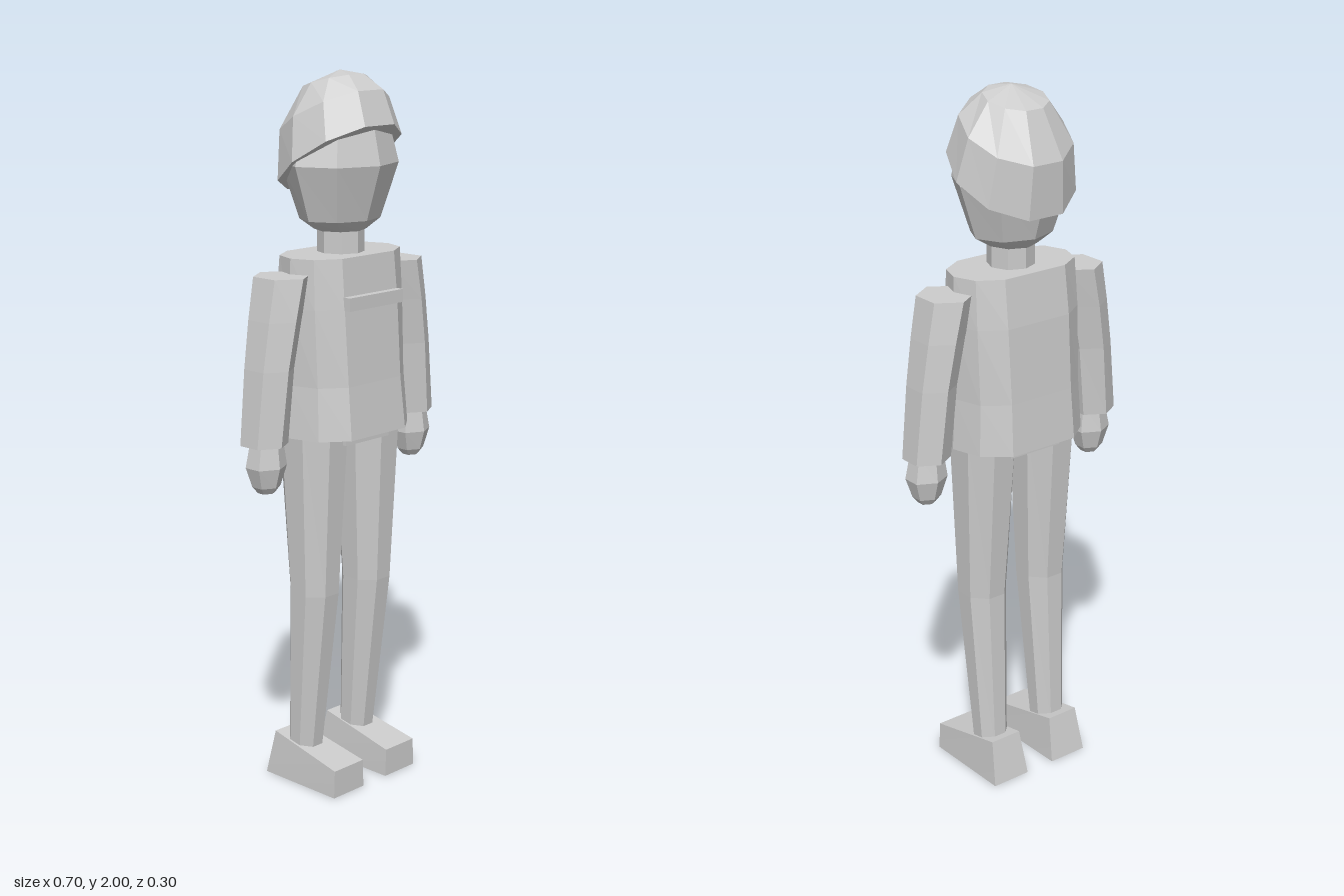
import * as THREE from 'three';

const grey = new THREE.MeshStandardMaterial({ color: 0xcccccc });
grey.name = 'plain grey';

// unit polygon with n corners, turned by a share of one step
const polygon = (n, turn = 0) => Array.from({ length: n }, (_, i) => {
  const a = ((i + turn) / n) * Math.PI * 2;
  return [Math.cos(a), Math.sin(a)];
});

// Closed faceted solid through rings listed from bottom to top.
// Ring: [y, centre x, centre z, radius x, radius z, slope of y along z]
function loft(name, outline, rings) {
  const loops = rings.map(([y, cx, cz, rx, rz, slope = 0]) =>
    outline.map(([u, v]) => new THREE.Vector3(cx + u * rx, y + v * rz * slope, cz + v * rz)));
  const pos = [];
  const tri = (...p) => p.forEach(v => pos.push(v.x, v.y, v.z));
  const n = outline.length;
  const middle = r => new THREE.Vector3(r[1], r[0], r[2]);
  const low = middle(rings[0]);
  const high = middle(rings[rings.length - 1]);
  const last = loops[loops.length - 1];
  for (let i = 0; i < n; i++) {
    const j = (i + 1) % n;
    for (let k = 0; k + 1 < loops.length; k++) {
      const a = loops[k], b = loops[k + 1];
      tri(a[i], b[i], b[j]);
      tri(a[i], b[j], a[j]);
    }
    tri(low, loops[0][i], loops[0][j]);
    tri(high, last[j], last[i]);
  }
  const geo = new THREE.BufferGeometry();
  geo.setAttribute('position', new THREE.Float32BufferAttribute(pos, 3));
  geo.computeVertexNormals();
  const mesh = new THREE.Mesh(geo, grey);
  mesh.name = name;
  return mesh;
}

function box(name, w, h, d, x, y, z) {
  const mesh = new THREE.Mesh(new THREE.BoxGeometry(w, h, d), grey);
  mesh.position.set(x, y, z);
  mesh.name = name;
  return mesh;
}

// wedge shoe: low toe, higher and narrower heel
function shoe(name, x) {
  const mesh = box(name, 1, 1, 1, x, 0, 0);
  const p = mesh.geometry.attributes.position;
  for (let i = 0; i < p.count; i++) {
    const top = p.getY(i) > 0, front = p.getZ(i) > 0;
    const half = top ? (front ? 0.057 : 0.049) : 0.06;
    p.setXYZ(i, Math.sign(p.getX(i)) * half,
      top ? (front ? 0.08 : 0.13) : 0,
      front ? 0.137 : (top ? -0.107 : -0.134));
  }
  mesh.geometry.computeVertexNormals();
  return mesh;
}

export function createModel() {
  const model = new THREE.Group();
  model.name = 'figure';
  const six = polygon(6, 0.5), eight = polygon(8), eightFlat = polygon(8, 0.5), ten = polygon(10);

  // head and neck
  model.add(
    loft('neck', eight, [[1.49, 0, 0.003, 0.065, 0.065], [1.6, 0, 0.003, 0.065, 0.065]]),
    loft('head', eight, [
      [1.575, 0, 0, 0.07, 0.07],
      [1.605, 0, 0, 0.12, 0.1],
      [1.755, 0, 0, 0.17, 0.148],
      [1.9, 0, 0, 0.13, 0.115],
    ]),
    // hair dome with a rim sloping down to the nape
    loft('hair', ten, [
      [1.768, 0, 0, 0.182, 0.153, 0.64],
      [1.885, 0, -0.02, 0.157, 0.139, 0.5],
      [1.97, 0, -0.018, 0.091, 0.082, 0.26],
      [2, 0, 0, 0.001, 0.001],
    ]),
  );

  // jacket with broad flat front and back, flaring at the hem
  const chest = [[1, 0], [0.88, 0.62], [0.53, 1], [-0.53, 1], [-0.88, 0.62],
    [-1, 0], [-0.88, -0.62], [-0.53, -1], [0.53, -1], [0.88, -0.62]];
  model.add(
    loft('jacket', chest, [
      [1.025, 0, 0.002, 0.202, 0.145],
      [1.17, 0, 0, 0.194, 0.132],
      [1.38, 0, 0, 0.196, 0.118],
      [1.515, 0, 0.002, 0.192, 0.104],
    ]),
    box('chestStrip', 0.21, 0.036, 0.03, 0, 1.395, 0.122),
    box('hips', 0.17, 0.1, 0.21, 0, 1.05, 0),
  );

  // limbs, mirrored
  for (const [side, s] of [['left', 1], ['right', -1]]) {
    model.add(
      loft(side + 'Sleeve', six, [
        [1.025, s * 0.292, 0, 0.066, 0.066],
        [1.23, s * 0.271, 0, 0.066, 0.073],
        [1.36, s * 0.248, 0, 0.07, 0.079],
        [1.473, s * 0.223, 0, 0.075, 0.082],
      ]),
      loft(side + 'Hand', six, [
        [0.892, s * 0.29, 0.005, 0.025, 0.022],
        [0.91, s * 0.29, 0.005, 0.041, 0.036],
        [0.965, s * 0.29, 0.005, 0.06, 0.052],
        [1.04, s * 0.288, 0.005, 0.046, 0.042],
      ]),
      loft(side + 'Leg', eightFlat, [
        [0.1, s * 0.105, -0.034, 0.049, 0.05],
        [0.57, s * 0.105, 0.002, 0.069, 0.074],
        [1.05, s * 0.103, -0.003, 0.09, 0.107],
      ]),
      shoe(side + 'Shoe', s * 0.106),
    );
  }
  return model;
}
